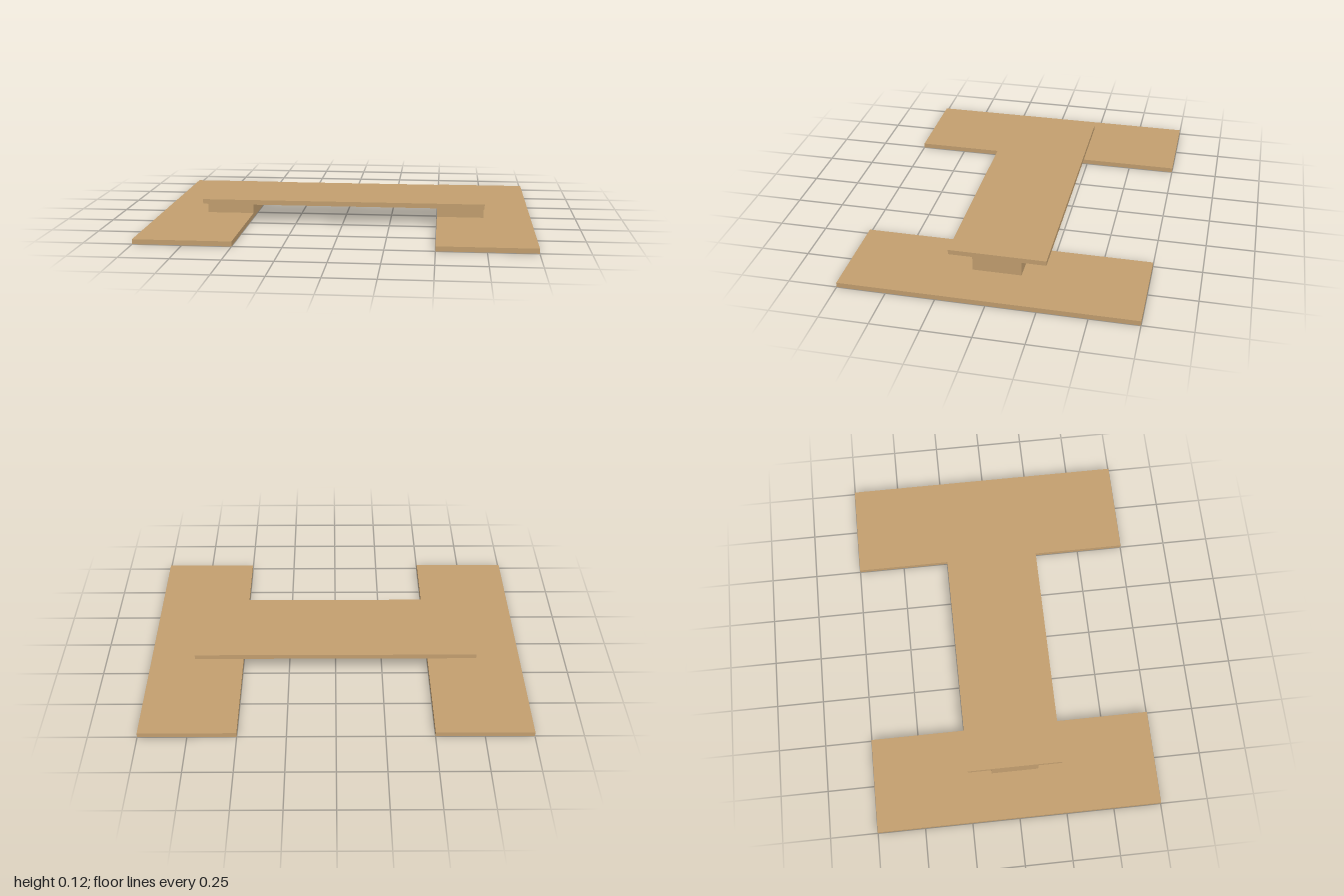
import * as THREE from 'three';

export function createModel() {
  const model = new THREE.Group();
  const wood = new THREE.MeshStandardMaterial({ color: 0xc4a070 });

  // Box placed by its centre in x and its underside in y
  function addBoard(name, width, height, depth, x, bottom) {
    const board = new THREE.Mesh(new THREE.BoxGeometry(width, height, depth), wood);
    board.name = name;
    board.position.set(x, bottom + height / 2, 0);
    model.add(board);
  }

  // Floor boards and the blocks standing on them, mirrored left and right
  for (const [side, sign] of [['left', 1], ['right', -1]]) {
    addBoard(side + 'BaseBoard', 0.5, 0.025, 1.5, sign * 0.75, 0);
    addBoard(side + 'Block', 0.25, 0.075, 0.25, sign * 0.625, 0.025);
  }

  // Plank bridging the two blocks
  addBoard('topPlank', 1.5, 0.025, 0.5, 0, 0.1);

  return model;
}
